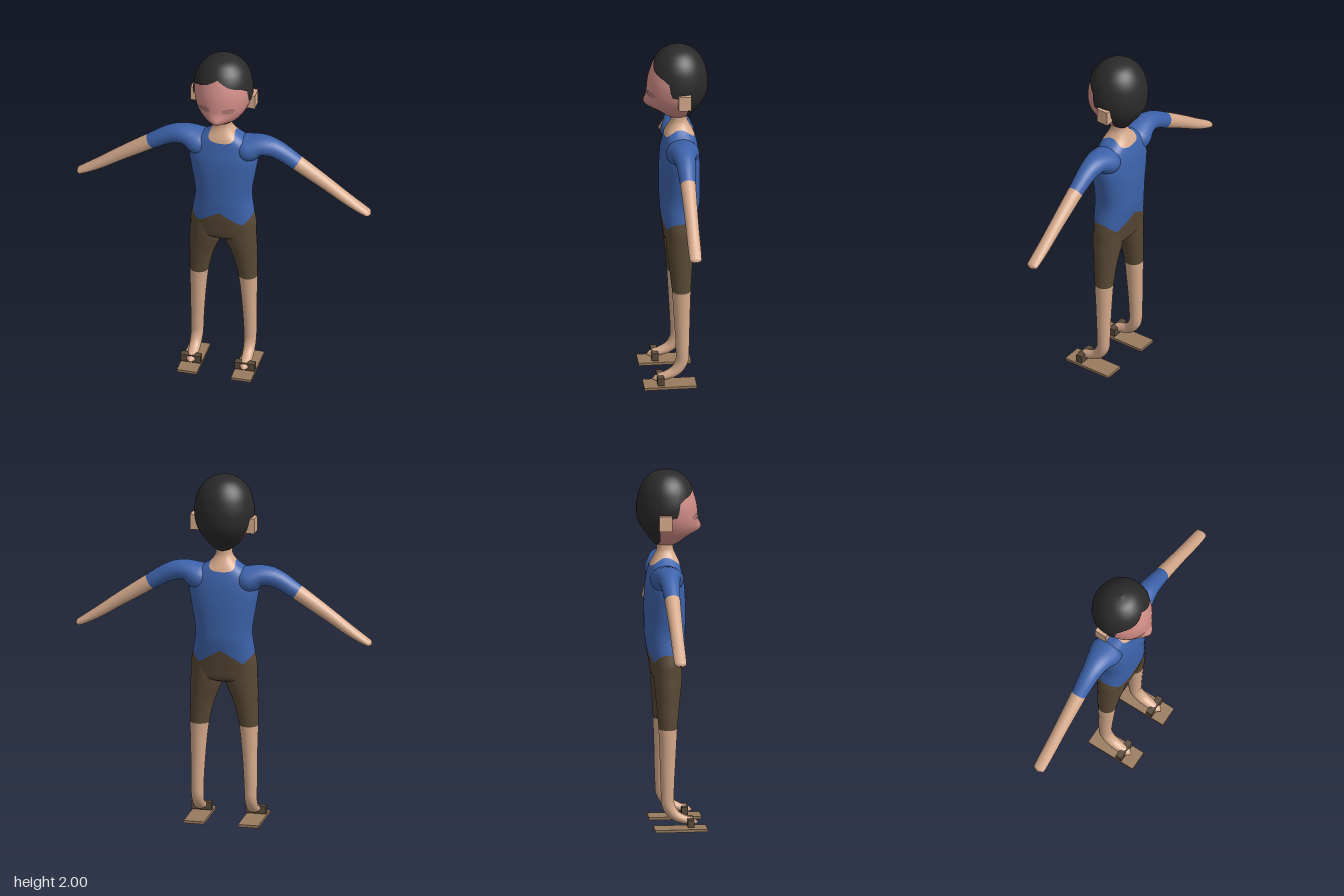
import * as THREE from 'three';

const mat = (name, color, side = THREE.FrontSide) => {
  const m = new THREE.MeshStandardMaterial({ color, side });
  m.name = name;
  return m;
};

// Monotone cubic lookup in rows of [key, value...]
function lookup(rows, key, col) {
  const last = rows.length - 1, dir = Math.sign(rows[1][0] - rows[0][0]);
  if ((key - rows[0][0]) * dir <= 0) return rows[0][col];
  if ((key - rows[last][0]) * dir >= 0) return rows[last][col];
  let i = 0;
  while ((key - rows[i + 1][0]) * dir > 0) i++;
  const d = (k) => (rows[k + 1][col] - rows[k][col]) / (rows[k + 1][0] - rows[k][0]);
  const slope = (k) => {
    if (k === 0) return d(0);
    if (k === last) return d(last - 1);
    const a = d(k - 1), b = d(k);
    return a * b <= 0 ? 0 : (2 * a * b) / (a + b);
  };
  const h = rows[i + 1][0] - rows[i][0], t = (key - rows[i][0]) / h, t2 = t * t, t3 = t2 * t;
  return (2 * t3 - 3 * t2 + 1) * rows[i][col] + (t3 - 2 * t2 + t) * h * slope(i)
    + (3 * t2 - 2 * t3) * rows[i + 1][col] + (t3 - t2) * h * slope(i + 1);
}

// Straight-line lookup for jagged edges
function jagged(points, key) {
  let i = 0;
  while (i < points.length - 2 && key > points[i + 1][0]) i++;
  const [[a, p], [b, q]] = [points[i], points[i + 1]];
  return p + (q - p) * Math.min(1, Math.max(0, (key - a) / (b - a)));
}

// Smooth surface of closed rings; point(angle, v) gives [x, y, z]
function rings(around, along, point) {
  const pos = [], index = [];
  for (let j = 0; j <= along; j++)
    for (let i = 0; i < around; i++) {
      pos.push(...point((i / around) * Math.PI * 2, j / along));
      if (j === along) continue;
      const a = j * around + i, b = j * around + ((i + 1) % around);
      index.push(a, a + around, b, b, a + around, b + around);
    }
  const g = new THREE.BufferGeometry();
  g.setAttribute('position', new THREE.Float32BufferAttribute(pos, 3));
  g.setIndex(index);
  g.computeVertexNormals();
  return g;
}

// Limb through sections [x, y, z, radius along side, other radius], from t0 to t1
function limb(sections, side, t0, t1, along) {
  const path = new THREE.CatmullRomCurve3(sections.map((s) => new THREE.Vector3(s[0], s[1], s[2])));
  const radii = new THREE.CatmullRomCurve3(sections.map((s) => new THREE.Vector3(s[3], s[4], 0)));
  return rings(24, along, (a, v) => {
    const t = t0 + (t1 - t0) * v, r = radii.getPoint(t);
    const across = path.getTangent(t).cross(side).normalize();
    return path.getPoint(t)
      .addScaledVector(across, Math.cos(a) * r.y)
      .addScaledVector(side, Math.sin(a) * r.x).toArray();
  });
}

// Trunk rows: height, half width, front z, back z
const BODY = [
  [1.6, .043, .02, -.07], [1.56, .045, .02, -.07], [1.52, .065, .035, -.085], [1.49, .1, .05, -.1],
  [1.46, .15, .058, -.112], [1.4, .187, .07, -.127], [1.35, .193, .08, -.134], [1.25, .178, .085, -.14],
  [1.1, .157, .085, -.14], [1, .17, .08, -.127], [.9, .185, .068, -.11], [.845, .18, .058, -.1],
  [.82, .1, .02, -.06], [.81, 0, -.02, -.02],
];
function bodyPoint(a, y) {
  const w = lookup(BODY, y, 1), f = lookup(BODY, y, 2), b = lookup(BODY, y, 3);
  const soft = (n) => Math.sign(n) * Math.abs(n) ** .87;
  return [w * soft(Math.sin(a)), y, (f + b) / 2 + ((f - b) / 2) * soft(Math.cos(a))];
}
const bodyStrip = (top, bottom, along) => rings(64, along, (a, v) => {
  const s = Math.abs(Math.sin(a)), t = top(s);
  return bodyPoint(a, t + (bottom(s) - t) * v);
});

// Head rows: height, half width, front z, back z
const HEAD = [
  [2, 0, -.02, -.02], [1.99, .05, .03, -.07], [1.97, .087, .065, -.105], [1.93, .125, .102, -.14],
  [1.88, .147, .128, -.163], [1.8, .16, .15, -.177], [1.74, .153, .155, -.175], [1.7, .14, .152, -.16],
  [1.66, .117, .135, -.135], [1.62, .086, .085, -.105], [1.585, .045, .04, -.08], [1.562, 0, -.02, -.02],
];
function headPoint(a, y, grow = 0) {
  const c = Math.cos(a), w = lookup(HEAD, y, 1), mid = -.02;
  const depth = c > 0 ? lookup(HEAD, y, 2) - mid : mid - lookup(HEAD, y, 3);
  const nose = .03 * Math.exp(-(((y - 1.672) / .035) ** 2)) * Math.max(0, c) ** 14;
  return [(w + grow) * Math.sin(a), y, mid + (depth + grow) * c + nose];
}
const HAIRLINE = [
  [0, 1.925], [.4, 1.89], [.65, 1.875], [.95, 1.86], [1.2, 1.835], [1.27, 1.76], [1.6, 1.75],
  [1.9, 1.7], [2, 1.61], [2.3, 1.59], [Math.PI, 1.58],
];

// Arm and leg sections for the model's left side
const ARM = [
  [.06, 1.39, -.03, .06, .07], [.14, 1.413, -.03, .092, .075], [.21, 1.441, -.03, .072, .057],
  [.29, 1.431, -.03, .055, .052], [.415, 1.358, -.03, .043, .044], [.5, 1.302, -.03, .04, .041],
  [.6, 1.235, -.03, .037, .036], [.7, 1.165, -.03, .036, .031], [.78, 1.115, -.03, .035, .024],
  [.82, 1.093, -.03, .032, .018], [.833, 1.087, -.03, .004, .003],
];
const LEG = [
  [.095, .92, -.02, .09, .08], [.097, .83, -.02, .091, .077], [.122, .7, -.022, .068, .063],
  [.138, .57, -.024, .053, .052], [.145, .4, -.026, .042, .044], [.15, .22, -.028, .036, .037],
  [.15, .14, -.023, .034, .035], [.151, .088, .01, .032, .03], [.151, .062, .06, .03, .024],
  [.151, .047, .115, .024, .018], [.151, .042, .138, .004, .004],
];

export function createModel() {
  const skin = mat('skin', 0xd6aa8c), face = mat('face pink', 0xd08c86), eye = mat('eye', 0xa87470);
  const hair = mat('hair black', 0x2a2a2a, THREE.DoubleSide), blue = mat('shirt blue', 0x3d63ab);
  const brown = mat('shorts brown', 0x594935), wood = mat('sole tan', 0x997b5e), dark = mat('strap brown', 0x5a4a3a);

  const model = new THREE.Group();
  model.name = 'figure';
  const add = (parent, name, geometry, material) => {
    const m = new THREE.Mesh(geometry, material);
    m.name = name;
    parent.add(m);
    return m;
  };
  const box = (w, h, d, x, y, z) => new THREE.BoxGeometry(w, h, d).translate(x, y, z);

  // Trunk: neck, shirt with zigzag hem, hips
  const collar = (s) => 1.467 + .05 * s * s;
  const hem = (s) => jagged([[0, 1.02], [.65, .94], [1, .99]], s);
  add(model, 'neck', bodyStrip(() => 1.6, collar, 10), skin);
  add(model, 'shirt', bodyStrip(collar, hem, 28), blue);
  add(model, 'hips', bodyStrip(hem, () => .81, 16), brown);

  // Head and hair
  add(model, 'head', rings(64, 32, (a, v) => headPoint(a, 1.95 - .388 * v)), face);
  add(model, 'hair', rings(96, 24, (a, v) => {
    const edge = jagged(HAIRLINE, Math.min(a, Math.PI * 2 - a));
    return headPoint(a, 2 - (2 - edge) * (1 - Math.cos((v * Math.PI) / 2)), v === 0 ? 0 : .006);
  }), hair);

  // Eyes: thin ellipses laid on the face
  for (const s of [-1, 1]) {
    const g = new THREE.CircleGeometry(1, 28), p = g.attributes.position;
    for (let i = 0; i < p.count; i++) {
      const x = s * .068 + p.getX(i) * .034, y = 1.748 + p.getY(i) * .017;
      p.setXYZ(i, x, y, headPoint(Math.asin(x / lookup(HEAD, y, 1)), y)[2] + .004);
    }
    g.computeVertexNormals();
    add(model, s > 0 ? 'leftEye' : 'rightEye', g, eye);
  }

  // Mirrored parts
  const X = new THREE.Vector3(1, 0, 0), Z = new THREE.Vector3(0, 0, 1);
  for (const s of [1, -1]) {
    const half = new THREE.Group();
    half.name = s > 0 ? 'leftSide' : 'rightSide';
    half.scale.x = s;
    model.add(half);
    add(half, 'ear', box(.05, .085, .07, .157, 1.733, -.04), skin);
    add(half, 'sleeve', limb(ARM, Z, 0, .4, 16), blue);
    add(half, 'arm', limb(ARM, Z, .4, 1, 28), skin);
    add(half, 'shortsLeg', limb(LEG, X, 0, .3, 16), brown);
    add(half, 'lowerLegAndFoot', limb(LEG, X, .3, 1, 36), skin);
    add(half, 'sandalSole', box(.114, .015, .29, .153, .0075, .043), wood);
    add(half, 'sandalStrap', box(.114, .044, .036, .153, .047, .096), dark);
  }
  return model;
}
